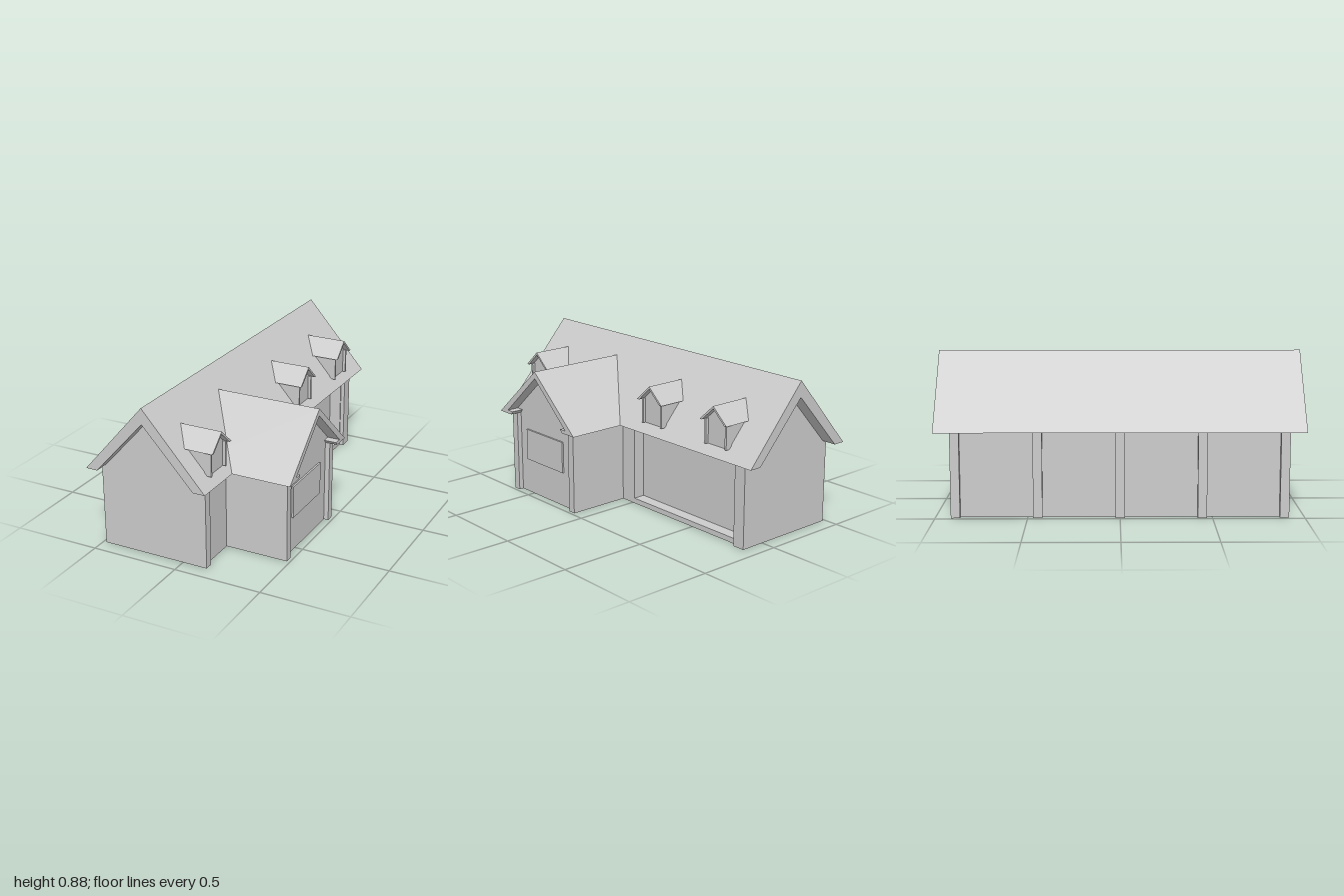
import * as THREE from 'three';

const material = new THREE.MeshStandardMaterial({ color: 0xcccccc, flatShading: true });

export function createModel() {
  const house = new THREE.Group();
  house.name = 'house';

  const add = (parent, geometry, name) => {
    const mesh = new THREE.Mesh(geometry, material);
    mesh.name = name;
    parent.add(mesh);
  };
  const extrude = (points, depth) => new THREE.ExtrudeGeometry(
    new THREE.Shape(points.map(([a, b]) => new THREE.Vector2(a, b))),
    { depth, bevelEnabled: false });
  // Cross-section in x and y, running from z0 to z1
  const alongZ = (parent, name, points, z0, z1) =>
    add(parent, extrude(points, z1 - z0).translate(0, 0, z0), name);
  // Symmetric cross-section about z = 0, given as its half, running from x0 to x1
  const alongX = (parent, name, half, x0, x1) => {
    const mirrored = half.filter(([a]) => a > 0).reverse().map(([a, b]) => [-a, b]);
    add(parent, extrude([...half, ...mirrored], x1 - x0).rotateY(Math.PI / 2).translate(x0, 0, 0), name);
  };
  const box = (parent, name, x0, x1, y0, y1, z0, z1) =>
    add(parent, new THREE.BoxGeometry(x1 - x0, y1 - y0, z1 - z0)
      .translate((x0 + x1) / 2, (y0 + y1) / 2, (z0 + z1) / 2), name);

  // Main hall, with a shallow porch cut into the +x side
  const hall = [[-0.457, 0], [0.12, 0], [0.12, 0.473], [-0.17, 0.79], [-0.457, 0.473]];
  const porch = [[-0.457, 0], [0.12, 0], [0.12, 0.03], [0.05, 0.03], [0.05, 0.473],
    [0.12, 0.473], [-0.17, 0.79], [-0.457, 0.473]];
  alongZ(house, 'frontHall', hall, -0.015, 0.915);
  alongZ(house, 'porchHall', porch, -0.835, -0.015);
  alongZ(house, 'backHall', hall, -0.915, -0.835);
  alongZ(house, 'mainRoof', [[-0.525, 0.473], [-0.457, 0.473], [-0.17, 0.79], [0.12, 0.473],
    [0.19, 0.473], [-0.17, 0.88]], -1, 1);

  // Wall posts
  for (let i = -2; i <= 2; i++) {
    const z = i * 0.445;
    box(house, 'sidePost', -0.483, -0.457, 0, 0.473, z - 0.025, z + 0.025);
  }
  box(house, 'frontPost', 0.12, 0.143, 0, 0.473, 0.867, 0.915);
  box(house, 'backPost', 0.12, 0.143, 0, 0.473, -0.915, -0.842);

  // Gabled side wing
  const wing = new THREE.Group();
  wing.name = 'wing';
  wing.position.z = 0.37;
  house.add(wing);
  alongX(wing, 'wingWalls', [[0.285, 0], [0.285, 0.481], [0, 0.735]], 0, 0.455);
  // The half section starts on the underside so the mirrored loop closes at the ridge
  const slope = [[0.24, 0.473], [0.345, 0.473], [0, 0.776], [-0.345, 0.473], [-0.24, 0.473],
    [-0.225, 0.492], [-0.272, 0.492], [0, 0.736], [0.272, 0.492], [0.225, 0.492]];
  add(wing, extrude(slope, 0.605).rotateY(Math.PI / 2).translate(-0.08, 0, 0), 'wingRoof');
  for (const s of [-1, 1]) {
    const z = s * 0.2625;
    box(wing, 'wingPost', 0.455, 0.482, 0, 0.473, z - 0.0225, z + 0.0225);
  }
  box(wing, 'window', 0.45, 0.465, 0.203, 0.386, -0.16, 0.175);

  // Dormers
  for (const z of [0.81, -0.217, -0.717]) {
    const dormer = new THREE.Group();
    dormer.name = 'dormer';
    dormer.position.z = z;
    house.add(dormer);
    alongX(dormer, 'dormerWalls', [[0.078, 0.525], [0.078, 0.667], [0, 0.737]], -0.03, 0.15);
    add(dormer, extrude([[0.1, 0.66], [0, 0.75], [-0.1, 0.66], [-0.083, 0.66],
      [0, 0.735], [0.083, 0.66]], 0.241).rotateY(Math.PI / 2).translate(-0.055, 0, 0), 'dormerRoof');
    for (const s of [-1, 1]) {
      box(dormer, 'dormerPost', 0.13, 0.167, 0.525, 0.665, s * 0.076 - 0.006, s * 0.076 + 0.006);
    }
  }
  return house;
}
